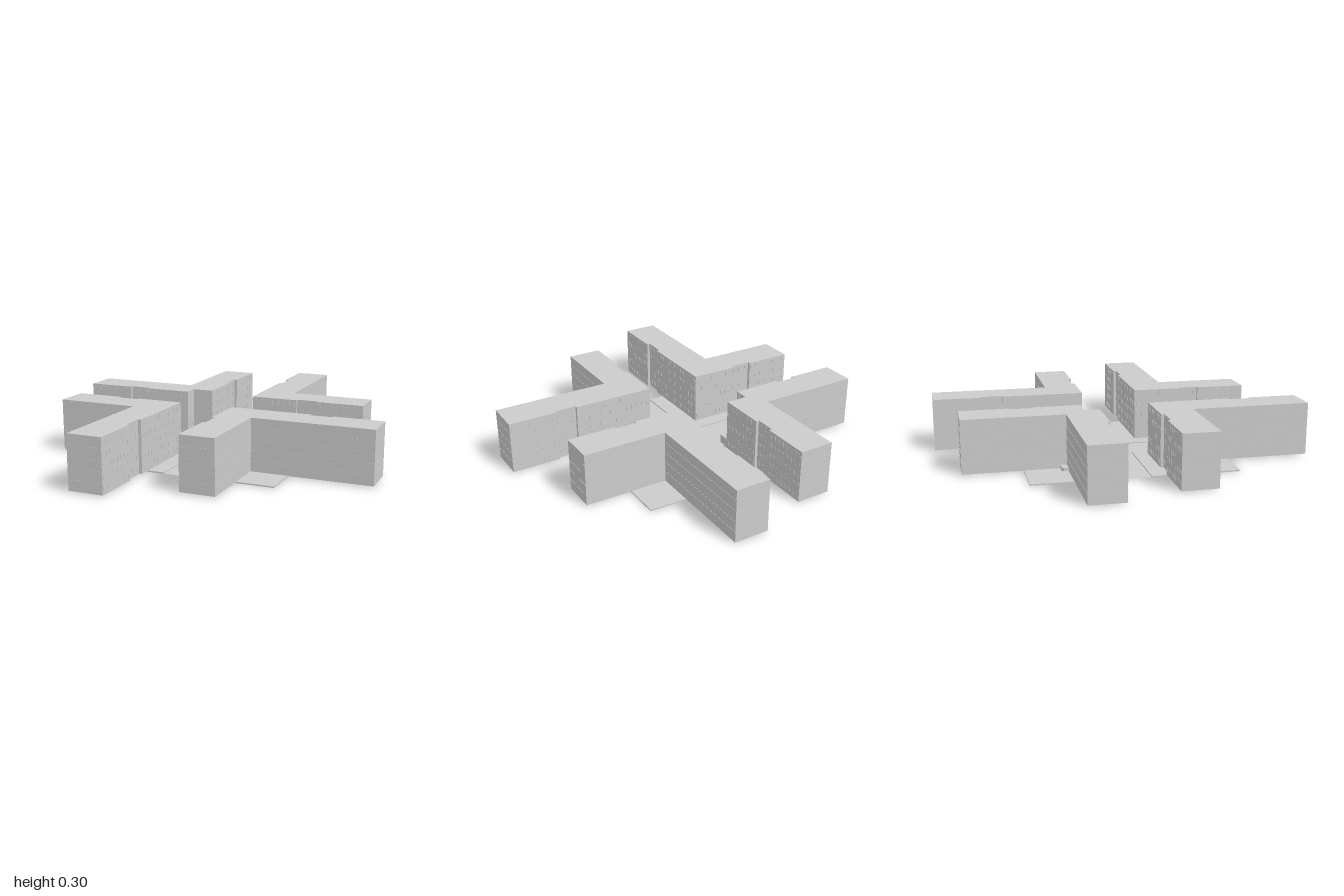
import * as THREE from 'three';
import { mergeGeometries } from 'three/addons/utils/BufferGeometryUtils.js';

const BASE = 0.006, ROOF = 0.295, FLOORS = 5;
const STOREY = (ROOF - BASE) / FLOORS;
const grey = new THREE.MeshStandardMaterial({ color: 0xcccccc, flatShading: true, side: THREE.DoubleSide });

function addMesh(parent, name, geometry) {
  const mesh = new THREE.Mesh(geometry, grey);
  mesh.name = name;
  parent.add(mesh);
}

// Upright prism over a ground-plan shape drawn in (x, -z)
function prism(shape, y0, y1) {
  const g = new THREE.ExtrudeGeometry(shape, { depth: y1 - y0, bevelEnabled: false, curveSegments: 8 });
  return g.rotateX(-Math.PI / 2).translate(0, y0, 0);
}

// Plan points (u, v) are measured outwards from the crossing; sx, sz choose the quadrant
function planShape(points, sx, sz) {
  return new THREE.Shape(points.map(([u, v]) => new THREE.Vector2(sx * u, -sz * v)));
}

// L-shaped plan with a stairwell recess in each street front
function outline({ a, b, c, d, X, Z, nx, nz, t = 0.017, cut }) {
  const corner = cut ? [[a, cut[1]], [cut[0], cut[1]], [cut[0], b]] : [[a, b]];
  return [...corner,
    [nx[0], b], [nx[0], b + t], [nx[1], b + t], [nx[1], b],
    [X, b], [X, d], [c, d], [c, Z], [a, Z],
    [a, nz[1]], [a + t, nz[1]], [a + t, nz[0]], [a, nz[0]]];
}

// Windows on street walls, storey bands on the other walls
function wallDetails(points, sx, sz) {
  const windows = [], bands = [];
  points.forEach(([u0, v0], i) => {
    const [u1, v1] = points[(i + 1) % points.length];
    const length = Math.hypot(u1 - u0, v1 - v0);
    if (length < 0.05) return;
    const du = (u1 - u0) / length, dv = (v1 - v0) / length;
    const block = (list, along, y, width, height, depth) => {
      const g = du !== 0 && Math.abs(du) > 0.5
        ? new THREE.BoxGeometry(width, height, depth)
        : new THREE.BoxGeometry(depth, height, width);
      list.push(g.translate(sx * (u0 + du * along), y, sz * (v0 + dv * along)));
    };
    const facesStreet = dv - du < 0;
    if (facesStreet) {
      const count = Math.max(2, Math.floor(length / 0.032));
      for (let f = 0; f < FLOORS; f++)
        for (let k = 0; k < count; k++)
          block(windows, (k + 0.5) * length / count, BASE + (f + 0.55) * STOREY, 0.015, 0.024, 0.003);
    } else {
      for (let f = 1; f < FLOORS; f++)
        block(bands, length / 2, BASE + f * STOREY, length, 0.003, 0.003);
    }
  });
  return { windows: mergeGeometries(windows), bands: mergeGeometries(bands) };
}

export function createModel() {
  const model = new THREE.Group();
  model.name = 'crossroadsHousing';

  // Road surfaces
  const roadLevel = 0.001;
  const roads = [[-0.6, 0.5, -0.07, 0.07], [-0.112, 0.022, -0.555, -0.07], [-0.112, 0.022, 0.07, 0.545]];
  addMesh(model, 'road', mergeGeometries(roads.map(([x0, x1, z0, z1]) =>
    new THREE.PlaneGeometry(x1 - x0, z1 - z0).rotateX(-Math.PI / 2)
      .translate((x0 + x1) / 2, roadLevel, (z0 + z1) / 2))));

  // Pavement blocks with rounded street corners
  for (const sx of [-1, 1]) for (const sz of [-1, 1]) {
    const a = sx < 0 ? 0.112 : 0.022, b = 0.07, r = 0.05;
    const X = sx < 0 ? 0.6 : 0.5, Z = sz < 0 ? 0.555 : 0.545;
    const s = new THREE.Shape();
    s.moveTo(sx * (a + r), -sz * b);
    s.lineTo(sx * X, -sz * b);
    s.lineTo(sx * X, -sz * Z);
    s.lineTo(sx * a, -sz * Z);
    s.lineTo(sx * a, -sz * (b + r));
    s.quadraticCurveTo(sx * a, -sz * b, sx * (a + r), -sz * b);
    addMesh(model, 'pavement', prism(s, 0, 0.007));

    // Corner fill of the road under the rounded kerb
    const fill = new THREE.PlaneGeometry(r, r).rotateX(-Math.PI / 2);
    addMesh(model, 'roadCorner', fill.translate(sx * (a + r / 2), roadLevel, sz * (b + r / 2)));
  }

  // Four corner apartment buildings
  const buildings = [
    { name: 'frontLeftBuilding', sx: 1, sz: 1, a: 0.105, b: 0.15, c: 0.295, d: 0.345, X: 0.95, Z: 0.805, nx: [0.56, 0.68], nz: [0.42, 0.53] },
    { name: 'frontRightBuilding', sx: -1, sz: 1, a: 0.205, b: 0.15, c: 0.398, d: 0.345, X: 0.855, Z: 1, nx: [0.47, 0.59], nz: [0.61, 0.73] },
    { name: 'backLeftBuilding', sx: 1, sz: -1, a: 0.105, b: 0.16, c: 0.295, d: 0.348, X: 0.755, Z: 1, nx: [0.37, 0.49], nz: [0.615, 0.735] },
    { name: 'backRightBuilding', sx: -1, sz: -1, a: 0.18, b: 0.138, c: 0.37, d: 0.33, X: 0.953, Z: 0.875, nx: [0.57, 0.685], nz: [0.49, 0.605], cut: [0.3, 0.22] },
  ];
  for (const spec of buildings) {
    const { name, sx, sz } = spec;
    const group = new THREE.Group();
    group.name = name;
    const points = outline(spec);
    addMesh(group, 'walls', prism(planShape(points, sx, sz), BASE, ROOF));
    const { windows, bands } = wallDetails(points, sx, sz);
    addMesh(group, 'windows', windows);
    addMesh(group, 'storeyBands', bands);
    model.add(group);
  }

  // Low chamfered terrace in the cut corner, and the rear entrance step
  const terrace = [[0.3, 0.138], [0.2, 0.138], [0.18, 0.158], [0.18, 0.22], [0.3, 0.22]];
  addMesh(model, 'cornerTerrace', prism(planShape(terrace, -1, -1), BASE, 0.062));
  const step = [[0.37, 0.33], [0.428, 0.33], [0.428, 0.355], [0.418, 0.365], [0.37, 0.365]];
  addMesh(model, 'entranceStep', prism(planShape(step, -1, -1), BASE, 0.025));

  return model;
}
